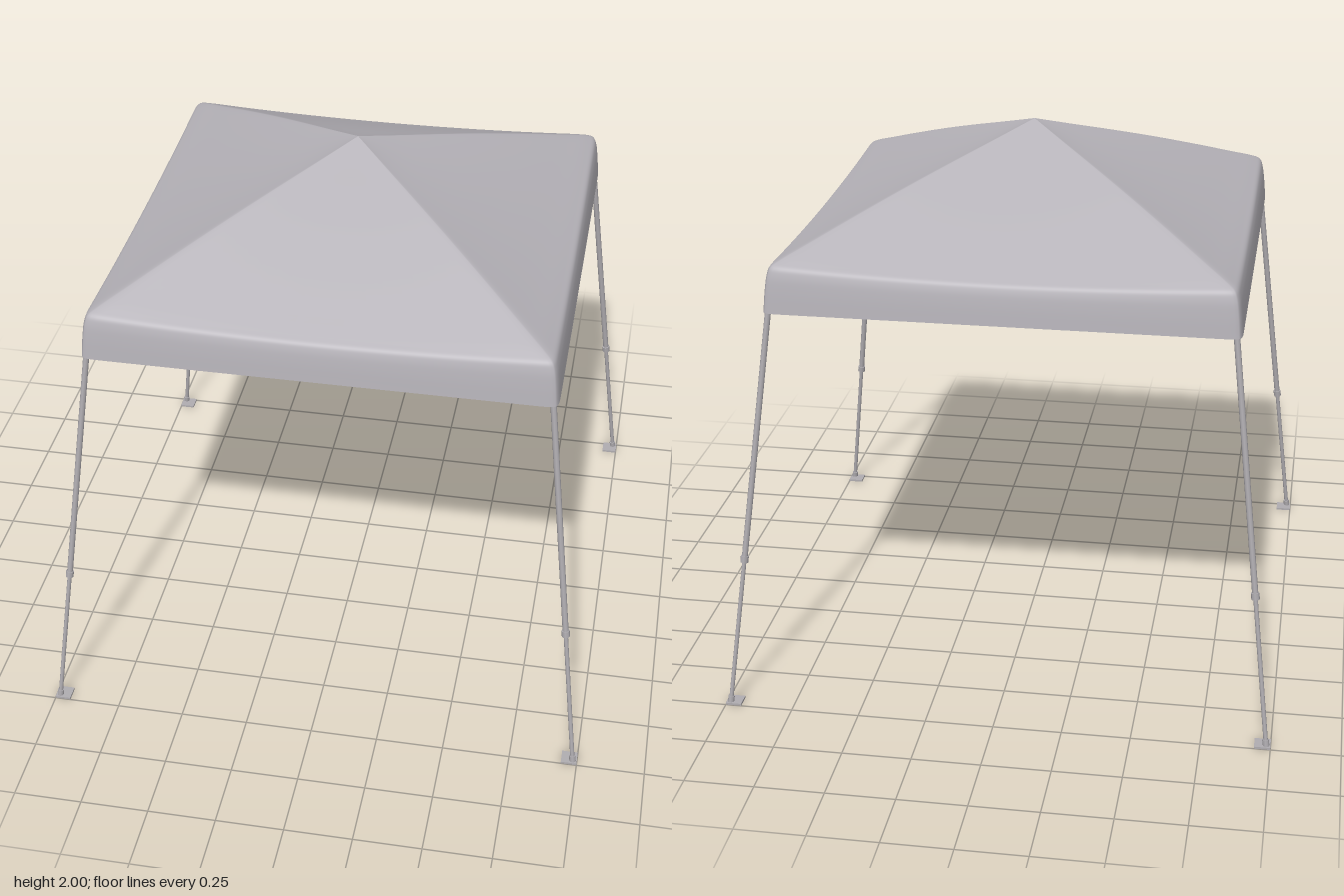
import * as THREE from 'three';

const fabric = new THREE.MeshStandardMaterial({ color: 0xb6b3b9, side: THREE.DoubleSide });
fabric.name = 'grey fabric';
const metal = new THREE.MeshStandardMaterial({ color: 0xb0adb1 });
metal.name = 'grey metal';

const V = (x, y, z) => new THREE.Vector3(x, y, z);
// the four corners of the square, as signs of x and z
const CORNERS = [[1, 1], [1, -1], [-1, -1], [-1, 1]];

function add(parent, geometry, material, name) {
  const mesh = new THREE.Mesh(geometry, material);
  mesh.name = name;
  parent.add(mesh);
  return mesh;
}

// straight round bar between two points
function bar(parent, a, b, radius, name, sides = 8) {
  const dir = b.clone().sub(a);
  const mesh = add(parent, new THREE.CylinderGeometry(radius, radius, dir.length(), sides), metal, name);
  mesh.position.copy(a).add(b).multiplyScalar(0.5);
  mesh.quaternion.setFromUnitVectors(V(0, 1, 0), dir.normalize());
  return mesh;
}

// canopy profile from peak to hem: half width, corner height, sag at mid side
const PROFILE = [
  [0, 2, 0], [0.12, 1.952, 0.004], [0.26, 1.897, 0.008], [0.4, 1.84, 0.013],
  [0.55, 1.775, 0.018], [0.7, 1.707, 0.022], [0.785, 1.668, 0.024], [0.81, 1.652, 0.022],
  [0.82, 1.625, 0.016], [0.828, 1.57, 0.006], [0.835, 1.49, 0],
];

// square rings with slightly rounded corners, joined into one smooth cloth
function canopyGeometry() {
  const rows = new THREE.CatmullRomCurve3(PROFILE.map(p => V(...p))).getPoints(50);
  const perSide = 28, count = perSide * 4;
  const position = [], index = [];
  rows.forEach(({ x: half, y, z: sag }, i) => {
    for (let j = 0; j < count; j++) {
      const u = Math.sin((Math.PI / 2) * (2 * (j % perSide) / perSide - 1));
      const s = half / Math.pow(1 + Math.pow(Math.abs(u), 60), 1 / 60);
      let x = u * s, z = s;
      for (let k = Math.floor(j / perSide); k > 0; k--) [x, z] = [z, -x];
      position.push(x, y - sag * (1 - u * u), z);
      if (i === rows.length - 1) continue;
      const a = i * count + j, d = i * count + (j + 1) % count;
      index.push(a, a + count, d + count);
      if (i > 0) index.push(a, d + count, d);
    }
  });
  const g = new THREE.BufferGeometry();
  g.setAttribute('position', new THREE.Float32BufferAttribute(position, 3));
  g.setIndex(index);
  g.computeVertexNormals();
  return g;
}

// point on the slanted leg line at height y
const legPoint = (sx, sz, y) => {
  const d = 0.985 - 0.114 * y;
  return V(sx * d, y, sz * d);
};

function addLeg(parent, sx, sz) {
  const leg = new THREE.Group();
  leg.name = 'leg';
  const at = y => legPoint(sx, sz, y);
  bar(leg, at(0.008), at(0.57), 0.008, 'lowerLegTube');
  bar(leg, at(0.56), at(1.6), 0.011, 'upperLegTube');
  bar(leg, at(0.558), at(0.582), 0.015, 'legCollar');
  bar(leg, at(1.5), at(1.525), 0.015, 'sliderBracket');
  // foot plate with a small socket
  const plate = add(leg, new THREE.BoxGeometry(0.058, 0.008, 0.058), metal, 'footPlate');
  plate.position.set(sx * 0.971, 0.004, sz * 0.971);
  bar(leg, at(0.006), at(0.03), 0.012, 'footSocket');
  parent.add(leg);
}

// two crossed pairs of bars along one side
function addTruss(parent, turn) {
  const truss = new THREE.Group();
  truss.name = 'sideTruss';
  const low = 1.508, high = 1.605, z = 0.79;
  for (const s of [-1, 1]) {
    bar(truss, V(s * 0.79, low, z), V(0, high, z), 0.007, 'scissorBar', 6);
    bar(truss, V(s * 0.79, high, z - 0.014), V(0, low, z - 0.014), 0.007, 'scissorBar', 6);
  }
  truss.rotation.y = turn * Math.PI / 2;
  parent.add(truss);
}

// bowed pole under each ridge of the roof
function addRidgePole(parent, sx, sz) {
  const points = [[0.01, 1.965], [0.26, 1.872], [0.55, 1.75], [0.74, 1.66], [0.795, 1.59]]
    .map(([d, y]) => V(sx * d, y, sz * d));
  const path = new THREE.CatmullRomCurve3(points);
  add(parent, new THREE.TubeGeometry(path, 24, 0.008, 6), metal, 'ridgePole');
}

export function createModel() {
  const model = new THREE.Group();
  model.name = 'canopyTent';
  add(model, canopyGeometry(), fabric, 'canopy');

  const frame = new THREE.Group();
  frame.name = 'frame';
  model.add(frame);
  CORNERS.forEach(([sx, sz], i) => {
    addLeg(frame, sx, sz);
    addRidgePole(frame, sx, sz);
    addTruss(frame, i);
  });
  // hub where the ridge poles meet
  bar(frame, V(0, 1.945, 0), V(0, 1.98, 0), 0.02, 'peakHub', 12);
  return model;
}
